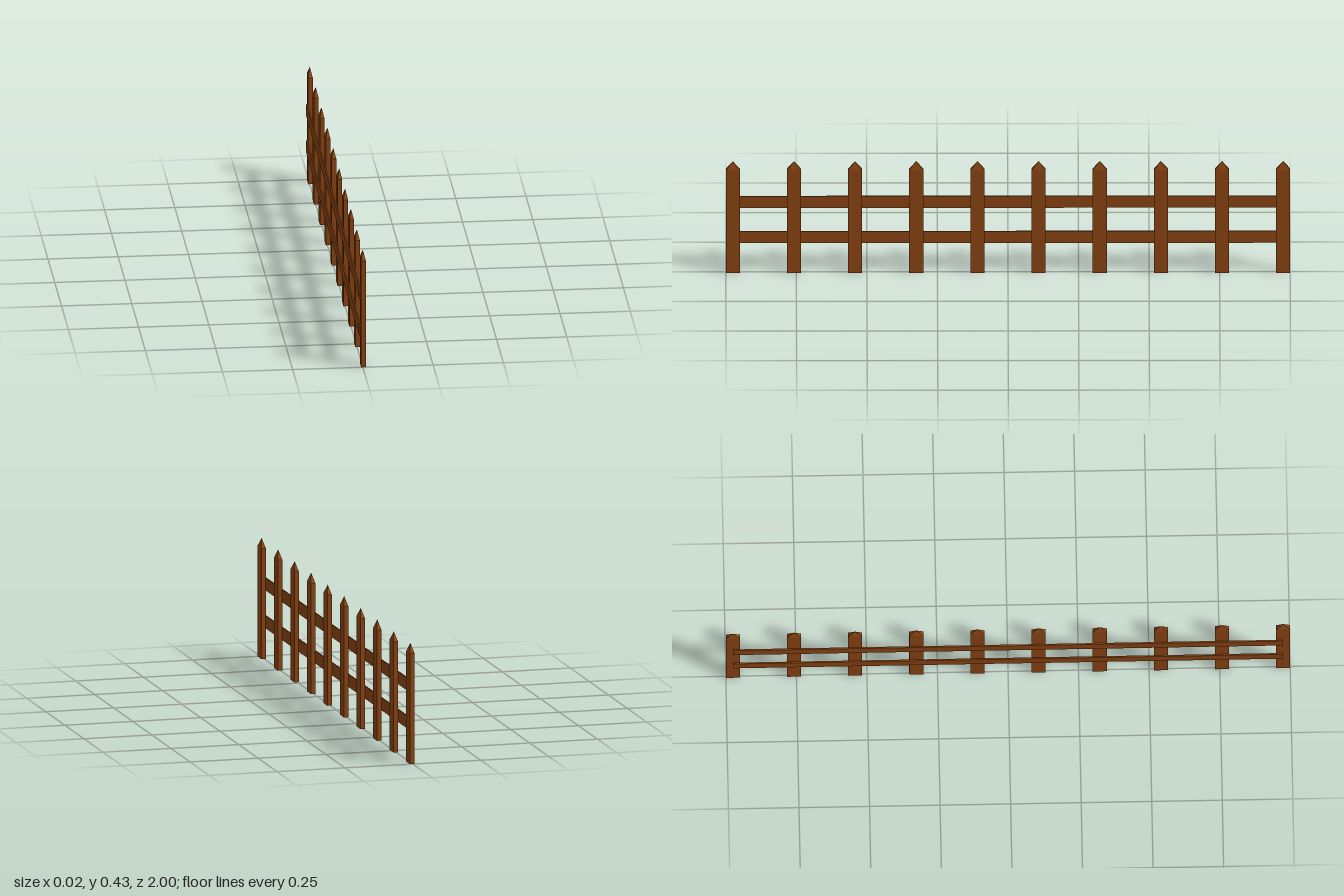
import * as THREE from 'three';

const wood = new THREE.MeshStandardMaterial({ color: 0x8b4513, flatShading: true });

const PICKETS = 10;
const END_Z = 0.975;
const WIDTH = 0.05;      // along z
const DEPTH = 0.0165;    // along x
const PICKET_X = 0.00225;
const SHOULDER = 0.4;
const TOP = 0.433;

function addMesh(parent, name, geometry, x, y, z) {
  const mesh = new THREE.Mesh(geometry, wood);
  mesh.name = name;
  mesh.position.set(x, y, z);
  parent.add(mesh);
}

export function createModel() {
  const fence = new THREE.Group();
  fence.name = 'picketFence';

  // Post body and its four-sided point, shared by all pickets
  const post = new THREE.BoxGeometry(DEPTH, SHOULDER, WIDTH);
  const point = new THREE.ConeGeometry(Math.SQRT1_2, 1, 4, 1, true);
  point.rotateY(Math.PI / 4);
  point.scale(DEPTH, TOP - SHOULDER, WIDTH);

  for (let i = 0; i < PICKETS; i++) {
    const picket = new THREE.Group();
    picket.name = 'picket' + (i + 1);
    picket.position.set(PICKET_X, 0, END_Z - (2 * END_Z * i) / (PICKETS - 1));
    addMesh(picket, 'post', post, 0, SHOULDER / 2, 0);
    addMesh(picket, 'point', point, 0, (SHOULDER + TOP) / 2, 0);
    fence.add(picket);
  }

  // Two thin rails fixed to the -x side of the pickets
  const rail = new THREE.BoxGeometry(0.005, 0.045, 2 * END_Z);
  addMesh(fence, 'lowerRail', rail, -0.008, 0.1325, 0);
  addMesh(fence, 'upperRail', rail, -0.008, 0.2695, 0);

  return fence;
}
